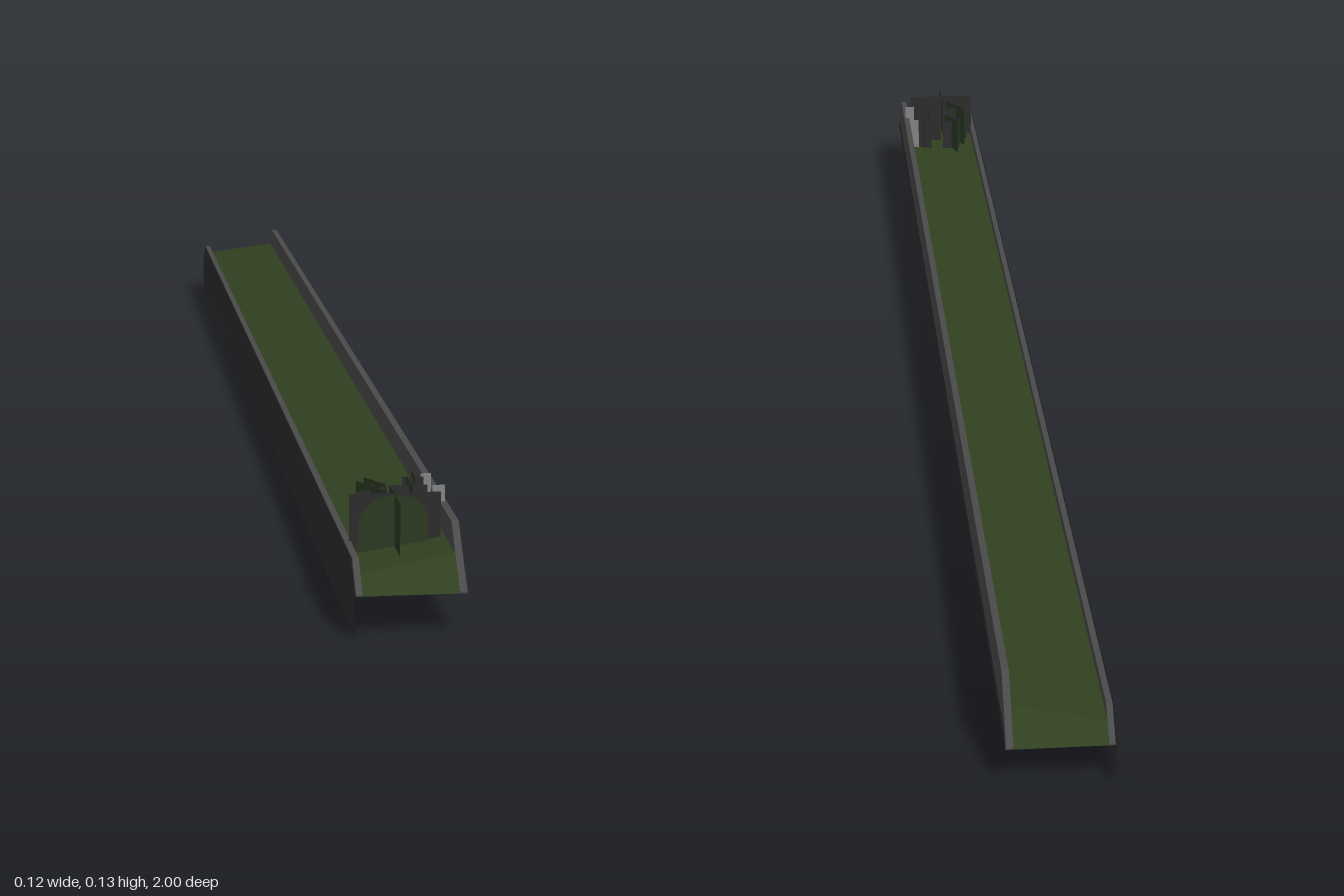
import * as THREE from 'three';

const mat = (name, color, side = THREE.FrontSide) => {
  const m = new THREE.MeshStandardMaterial({ color, side, flatShading: true });
  m.name = name;
  return m;
};

export function createModel() {
  const root = new THREE.Group();
  const grey = mat('wall grey', 0x4a4a4b);
  const dark = mat('skirt dark grey', 0x2d2d2e, THREE.DoubleSide);
  const soilGreen = mat('grass green', 0x30401f, THREE.DoubleSide);
  const leafGreen = mat('leaf green', 0x2b3a20, THREE.DoubleSide);
  const pale = mat('pale grey', 0x858585, THREE.DoubleSide);

  const add = (name, geometry, material, parent = root) => {
    const mesh = new THREE.Mesh(geometry, material);
    mesh.name = name;
    parent.add(mesh);
    return mesh;
  };

  // Side outline in (z, y) with chamfered ends
  const outline = (bottom, shoulder, top, inset) => new THREE.Shape([
    [-1, bottom], [1, bottom], [1, shoulder], [1 - inset, top], [-1 + inset, top], [-1, shoulder],
  ].map(([z, y]) => new THREE.Vector2(z, y)));

  // Long wall spanning x0..x1
  const wall = (name, shape, x0, x1, material) => {
    const g = new THREE.ExtrudeGeometry(shape, { depth: x1 - x0, bevelEnabled: false });
    g.rotateY(-Math.PI / 2).translate(x1, 0, 0);
    return add(name, g, material);
  };
  wall('tallWall', outline(0.045, 0.047, 0.108, 0.06), 0.051, 0.059, grey);
  wall('lowWall', outline(0.045, 0.047, 0.078, 0.033), -0.059, -0.052, grey);
  wall('tallWallBase', outline(0.045, 0.047, 0.062, 0.016), 0.059, 0.06, dark);

  // Thin skirt hanging down one side
  const skirt = new THREE.ShapeGeometry(outline(0, 0.046, 0.078, 0.033));
  skirt.rotateY(-Math.PI / 2).translate(-0.06, 0, 0);
  add('skirt', skirt, dark);

  // Sloped grass bed with both ends ramped down
  let bed = new THREE.PlaneGeometry(0.112, 2, 1, 3);
  bed.rotateX(-Math.PI / 2);
  const p = bed.attributes.position;
  for (let i = 0; i < p.count; i++) {
    const x = p.getX(i), z = p.getZ(i), inner = Math.abs(z) < 0.9;
    const high = x > 0;
    p.setXYZ(i, x, inner ? (high ? 0.081 : 0.064) : 0.045,
      inner ? Math.sign(z) * (high ? 0.966 : 0.981) : z);
  }
  bed = bed.toNonIndexed();
  bed.computeVertexNormals();
  add('grassBed', bed, soilGreen);

  // Upright foliage cards: x, z, width, bottom, top, turn
  const plants = new THREE.Group();
  plants.name = 'plants';
  root.add(plants);
  const card = (name, x, z, w, y0, y1, turn, material) => {
    const m = add(name, new THREE.PlaneGeometry(w, y1 - y0), material, plants);
    m.position.set(x, (y0 + y1) / 2, z);
    m.rotation.y = turn;
    return m;
  };
  card('backCard', -0.004, 0.9, 0.1, 0.06, 0.13, 0, dark);

  // Rounded leaf on the front card
  const leaf = new THREE.Shape();
  leaf.moveTo(-0.046, 0.06);
  leaf.lineTo(-0.044, 0.1);
  leaf.quadraticCurveTo(-0.035, 0.128, -0.005, 0.129);
  leaf.quadraticCurveTo(0.03, 0.128, 0.031, 0.1);
  leaf.lineTo(0.031, 0.06);
  add('broadLeaf', new THREE.ShapeGeometry(leaf), leafGreen, plants).position.z = 0.905;

  // Crossed pairs of cards
  [[-0.005, 0.905, 0.085, 0.13], [-0.025, 0.86, 0.055, 0.128], [0.02, 0.845, 0.05, 0.128],
    [-0.015, 0.815, 0.04, 0.122], [0.03, 0.803, 0.03, 0.126]].forEach(([x, z, w, top], i) => {
    const turn = Math.PI / 2 + (i % 2 ? 0.5 : 0);
    card('leafCard', x, z, w, 0.06, top, turn, leafGreen);
    if (i) card('darkLeafCard', x, z, w * 0.8, 0.06, top - 0.004, turn + Math.PI / 2, dark);
  });

  // Pale stems by the tall wall
  card('stem', 0.05, 0.86, 0.014, 0.075, 0.127, 0, pale);
  card('stem', 0.045, 0.8, 0.012, 0.075, 0.125, 0, pale);
  return root;
}
